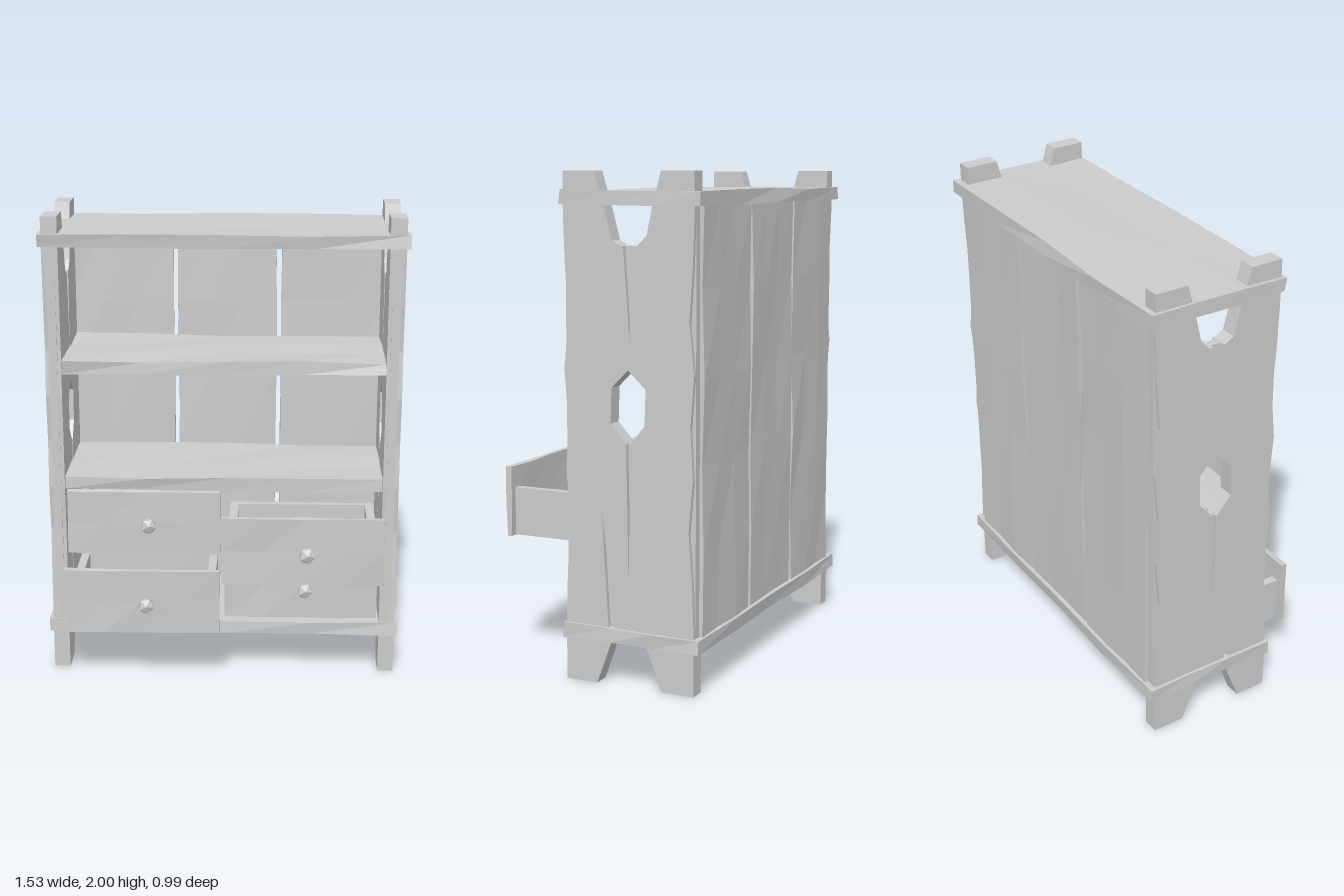
import * as THREE from 'three';

const material = new THREE.MeshStandardMaterial({ color: 0xcccccc, flatShading: true });

// Repeatable value 0..1 from a position, so that shared corners move together
function hash(x, y, z, seed) {
  const s = Math.sin(Math.round(x * 500) * 12.99 + Math.round(y * 500) * 78.23 + Math.round(z * 500) * 37.72 + seed * 4.13) * 43758.55;
  return s - Math.floor(s);
}

let seed = 0;

// Hewn board between two corners; its vertices are pulled inward unevenly
function board(name, min, max, segs = [1, 1, 1], inset = [0, 0, 0]) {
  const size = max.map((v, i) => v - min[i]);
  const geo = new THREE.BoxGeometry(...size, ...segs);
  const p = geo.attributes.position;
  seed++;
  for (let i = 0; i < p.count; i++) {
    const v = [p.getX(i), p.getY(i), p.getZ(i)];
    const moved = v.map((c, k) => c - Math.sign(Math.round(c * 1000)) * inset[k] * hash(...v, seed + k * 17));
    p.setXYZ(i, ...moved);
  }
  geo.computeVertexNormals();
  const mesh = new THREE.Mesh(geo, material);
  mesh.position.set(...max.map((v, i) => (v + min[i]) / 2));
  mesh.name = name;
  return mesh;
}

// One layer of a side panel, outline in (z, y); face layers have cracks and chipped edges
function sideLayer(cracked, chip) {
  const vec = ([z, y]) => new THREE.Vector2(z, y);
  const wave = [0, 0.3, 1, 0.2, 0.7, 0, 0.9, 0.3, 0];
  const edge = (z, sign) => wave.map((w, i) => [z - sign * w * chip, 0.24 + i * 0.2]);
  const outline = [
    [-0.04, 0], [0.095, 0], ...edge(0.095, 1), [0.095, 2],
    [-0.04, 2], [-0.08, 1.87], [-0.115, 1.74], [-0.15, 1.72],
    ...(cracked ? [[-0.162, 1.72], [-0.187, 1.36], [-0.205, 1.72]] : []),
    [-0.22, 1.72], [-0.26, 1.76], [-0.285, 1.87], [-0.32, 2],
    [-0.457, 2], ...edge(-0.457, -1).reverse(), [-0.457, 0],
    [-0.32, 0], [-0.25, 0.19], [-0.11, 0.19],
  ];
  const shape = new THREE.Shape(outline.map(vec));
  const tip = cracked ? [[-0.172, 0.965], [-0.18, 0.4], [-0.19, 0.965]] : [[-0.18, 0.96]];
  const holes = [[[-0.18, 1.25], [-0.11, 1.18], [-0.105, 1.04], ...tip, [-0.25, 1.04], [-0.255, 1.18]]];
  if (cracked) holes.push([[-0.066, 0.7], [-0.082, 0.55], [-0.118, 0.22], [-0.092, 0.22], [-0.072, 0.55]]);
  for (const h of holes) shape.holes.push(new THREE.Path(h.map(vec)));
  return shape;
}

// Side panel with feet, top horns and peepholes, grooved on both faces
function sidePanel(name, sign) {
  const group = new THREE.Group();
  group.name = name;
  const layers = [[0.68, 0.695, 0.008, true], [0.695, 0.73, 0, false], [0.73, 0.748, 0.022, true]];
  for (const [a, b, chip, cracked] of layers) {
    const geo = new THREE.ExtrudeGeometry(sideLayer(cracked, chip), { depth: b - a, bevelEnabled: false });
    geo.rotateY(-Math.PI / 2);
    const mesh = new THREE.Mesh(geo, material);
    mesh.position.x = sign > 0 ? b : -a;
    mesh.name = name + 'Layer';
    group.add(mesh);
  }
  return group;
}

// Drawer box with an overhanging front and a faceted knob; z is its front face
function drawer(name, x0, x1, y, z, knobX) {
  const group = new THREE.Group();
  group.name = name;
  const back = z - 0.47, face = z - 0.03, a = x0 + 0.025, b = x1 - 0.025, top = y + 0.2;
  group.add(
    board('drawerFront', [x0, y, face], [x1, y + 0.29, z], [4, 2, 1], [0.003, 0.006, 0.007]),
    board('drawerSide', [a, y + 0.005, back], [a + 0.035, top, face]),
    board('drawerSide', [b - 0.035, y + 0.005, back], [b, top, face]),
    board('drawerBack', [a + 0.035, y + 0.005, back], [b - 0.035, top, back + 0.03]),
    board('drawerBottom', [a + 0.035, y + 0.005, back + 0.03], [b - 0.035, y + 0.03, face]),
  );
  const knob = new THREE.Mesh(new THREE.IcosahedronGeometry(0.036, 0), material);
  knob.name = 'knob';
  knob.position.set(knobX, y + 0.148, z + 0.044);
  knob.rotation.set(0.3, 0.2, 0.1);
  group.add(knob);
  return group;
}

export function createModel() {
  const model = new THREE.Group();
  model.name = 'bookcase';

  model.add(sidePanel('leftSide', 1), sidePanel('rightSide', -1));

  // Top and bottom boards
  for (const [name, y] of [['topBoard', 1.868], ['bottomBoard', 0.17]]) {
    model.add(board(name, [-0.766, y, -0.492], [0.766, y + 0.064, 0.11], [4, 1, 3], [0.008, 0.008, 0.012]));
  }

  // Shelves
  for (const [name, y] of [['upperShelf', 1.332], ['lowerShelf', 0.82]]) {
    model.add(board(name, [-0.685, y, -0.44], [0.685, y + 0.066, 0.09], [4, 1, 3], [0, 0.012, 0.02]));
  }

  // Back planks with narrow gaps
  for (const [x0, x1] of [[-0.7, -0.237], [-0.222, 0.222], [0.237, 0.7]]) {
    model.add(board('backPlank', [x0, 0.21, -0.477], [x1, 1.89, -0.43], [3, 5, 1], [0.008, 0, 0.012]));
  }

  // Drawers, two of them pulled out
  model.add(
    drawer('upperRightDrawer', -0.675, -0.01, 0.53, 0.088, -0.32),
    drawer('upperLeftDrawer', 0.003, 0.672, 0.53, 0.415, 0.355),
    drawer('lowerRightDrawer', -0.675, -0.01, 0.232, 0.257, -0.32),
    drawer('lowerLeftDrawer', 0.003, 0.672, 0.232, 0.068, 0.355),
  );
  return model;
}
